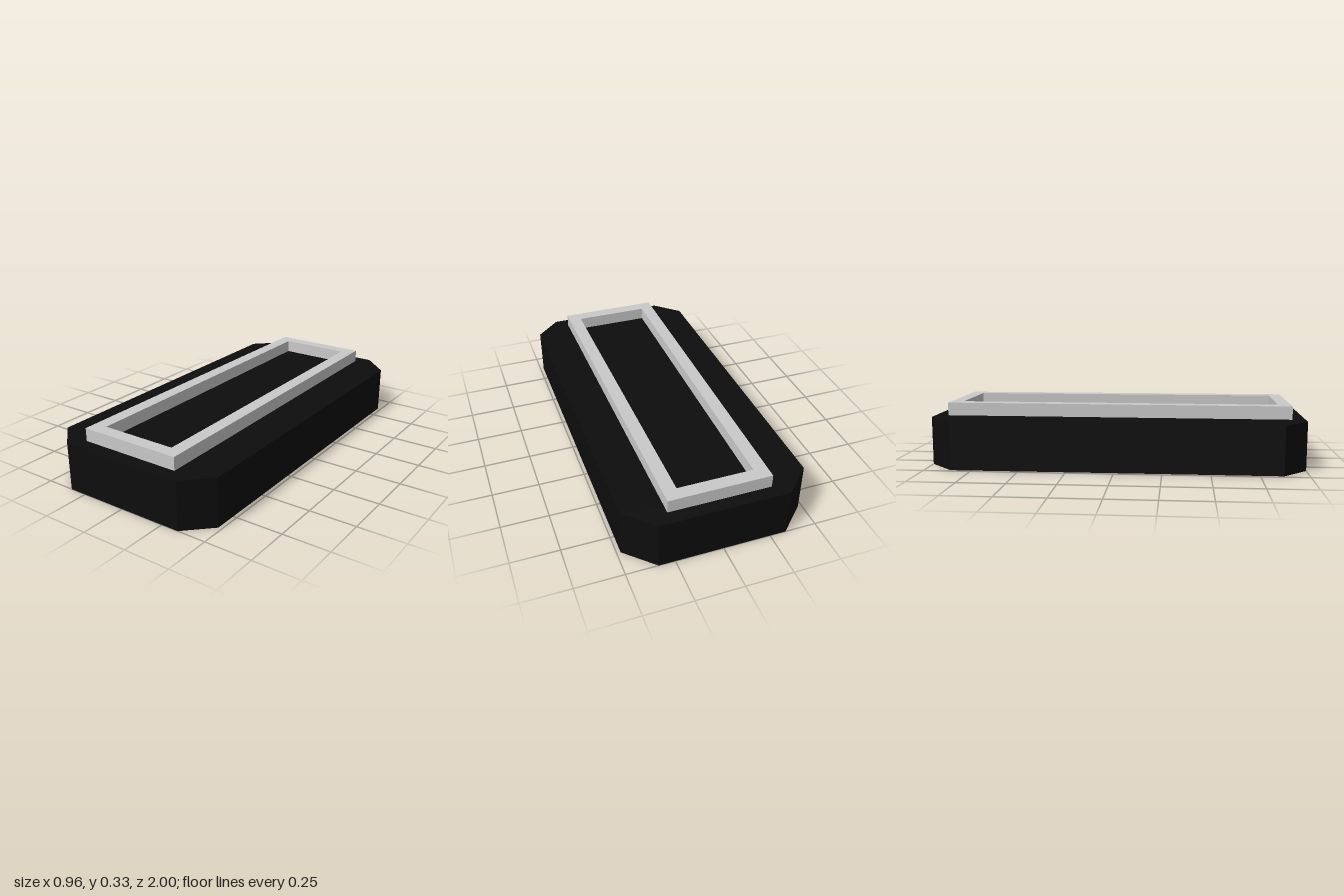
import * as THREE from 'three';

// Closed outline from [x, z] points of the +x half (front to back), mirrored to -x
function mirrored(half, Type) {
  const all = [...half, ...half.slice().reverse().map(([x, z]) => [-x, z])];
  return new Type(all.map(([x, z]) => new THREE.Vector2(x, -z)));
}

// Raises a plan outline between two heights
function slab(name, shape, bottom, top, material) {
  const geometry = new THREE.ExtrudeGeometry(shape, { depth: top - bottom, bevelEnabled: false });
  geometry.rotateX(-Math.PI / 2);
  geometry.translate(0, bottom, 0);
  const mesh = new THREE.Mesh(geometry, material);
  mesh.name = name;
  return mesh;
}

export function createModel() {
  const black = new THREE.MeshStandardMaterial({ color: 0x0d0d0d });
  black.name = 'black';
  const lightGrey = new THREE.MeshStandardMaterial({ color: 0xc9c9c9 });
  lightGrey.name = 'light grey';

  const model = new THREE.Group();
  model.name = 'framedBlock';

  // Long block with cut corners
  const base = mirrored([[0.345, 1], [0.48, 0.87], [0.48, -0.86], [0.335, -1]], THREE.Shape);
  model.add(slab('base', base, 0, 0.26, black));

  // Raised rim, slightly wider at the front
  const rim = mirrored([[0.28, 0.93], [0.268, -0.93]], THREE.Shape);
  rim.holes.push(mirrored([[0.208, 0.86], [0.198, -0.86]], THREE.Path));
  model.add(slab('rim', rim, 0.26, 0.33, lightGrey));

  return model;
}
